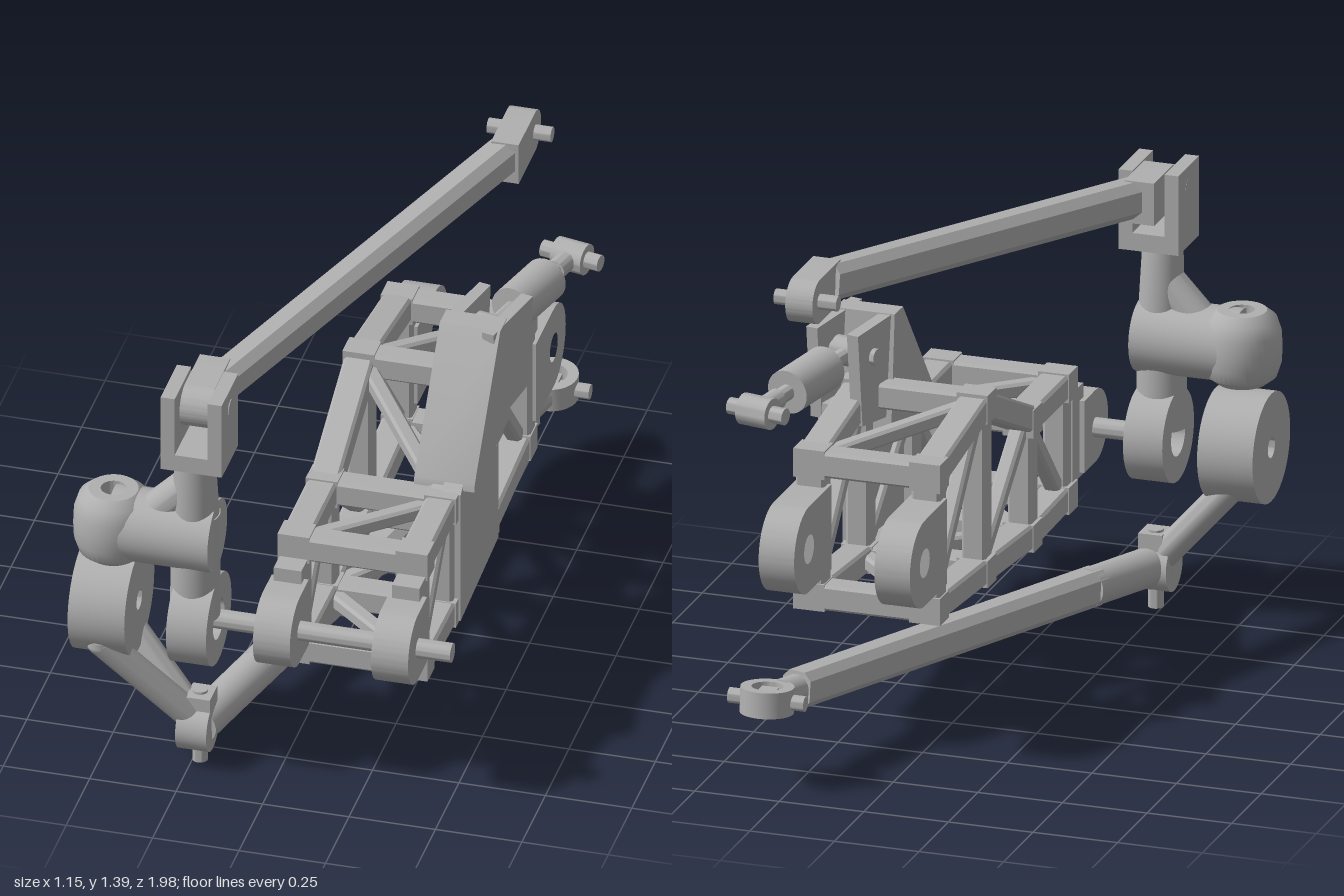
import * as THREE from 'three';
import { toCreasedNormals } from 'three/addons/utils/BufferGeometryUtils.js';

const V = (x, y, z) => new THREE.Vector3(x, y, z);

export function createModel() {
  const steel = new THREE.MeshStandardMaterial({ color: 0xb0b0b0 });
  steel.name = 'plain grey';
  const model = new THREE.Group();
  model.name = 'suspensionLinkage';

  const add = (name, geo, pos = V(0, 0, 0), parent = model) => {
    const m = new THREE.Mesh(toCreasedNormals(geo, 0.6), steel);
    m.name = name;
    m.position.copy(pos);
    parent.add(m);
    return m;
  };
  const box = (name, w, h, d, pos, parent) => add(name, new THREE.BoxGeometry(w, h, d), pos, parent);

  // Bar with chamfered rectangular section between two points
  const bar = (name, a, b, w, h, c = 0.008) => {
    const x = w / 2, y = h / 2;
    const s = new THREE.Shape([
      [-x + c, -y], [x - c, -y], [x, -y + c], [x, y - c],
      [x - c, y], [-x + c, y], [-x, y - c], [-x, -y + c],
    ].map(p => new THREE.Vector2(...p)));
    const m = add(name, new THREE.ExtrudeGeometry(s, { depth: a.distanceTo(b), bevelEnabled: false }), a);
    m.lookAt(b);
    return m;
  };

  // Round rod between two points, optionally tapered
  const rod = (name, a, b, r0, r1 = r0) => {
    const m = add(name, new THREE.CylinderGeometry(r1, r0, a.distanceTo(b), 32), a.clone().lerp(b, 0.5));
    m.quaternion.setFromUnitVectors(V(0, 1, 0), b.clone().sub(a).normalize());
    return m;
  };

  // Ring with a bore; axis is y, or x when sideways
  const ring = (name, pos, ro, ri, width, sideways = true) => {
    const h = width / 2;
    const pts = [[ri, -h], [ro, -h], [ro, h], [ri, h], [ri, -h]].map(p => new THREE.Vector2(...p));
    const m = add(name, new THREE.LatheGeometry(pts, 40), pos);
    if (sideways) m.rotation.z = Math.PI / 2;
    return m;
  };

  // Extrude a (z, y) outline across x
  const plate = (name, shape, xMid, width, parent) => {
    const geo = new THREE.ExtrudeGeometry(shape, { depth: width, bevelEnabled: false, curveSegments: 24 });
    geo.rotateY(-Math.PI / 2);
    return add(name, geo, V(xMid + width / 2, 0, 0), parent);
  };
  const outline = pts => new THREE.Shape(pts.map(p => new THREE.Vector2(...p)));

  // Lug: round end at (y, z) with a straight tail reaching tailZ
  const lug = (name, x, y, z, r, hole, width, tailZ) => {
    const s = new THREE.Shape();
    s.moveTo(tailZ, y - r);
    s.lineTo(z, y - r);
    s.absarc(z, y, r, -Math.PI / 2, Math.PI / 2, tailZ > z);
    s.lineTo(tailZ, y + r);
    s.closePath();
    if (hole) {
      const p = new THREE.Path();
      p.absarc(z, y, hole, 0, Math.PI * 2, true);
      s.holes.push(p);
    }
    return plate(name, s, x, width);
  };

  // ---- Truss arm: two side frames joined by cross beams ----
  const sides = [0.015, 0.357];
  const top = [[0.69, 0.68], [0.39, 0.68], [0, 0.86], [-0.405, 0.795]];
  const low = [[0.69, 0.345], [0.39, 0.338], [0, 0.37], [-0.405, 0.4]];
  for (const x of sides) {
    const T = top.map(([z, y]) => V(x, y, z)), L = low.map(([z, y]) => V(x, y, z));
    for (let i = 0; i < 4; i++) {
      bar('post', L[i], T[i], i === 3 ? 0.085 : 0.07, 0.065);
      box('node', 0.092, 0.085, 0.075, T[i]);
      box('node', 0.092, 0.08, 0.075, L[i]);
      if (i === 3) continue;
      bar('upperChord', T[i], T[i + 1], 0.085, 0.075);
      bar('lowerChord', L[i], L[i + 1], 0.085, 0.075);
      if (i === 0) bar('sideBrace', L[0], T[1], 0.045, 0.045);
      else bar('sideBrace', T[i], L[i + 1], 0.045, 0.045);
    }
    lug('frontLug', x, 0.5, 0.855, 0.107, 0.026, 0.107, 0.76);
    box('frontLugNeck', 0.08, 0.27, 0.09, V(x, 0.515, 0.745));
    lug('rearLug', x, 0.6, -0.59, 0.127, 0.042, 0.105, -0.4);
  }
  [top, low].forEach((row, k) => row.forEach(([z, y], i) => {
    const [xl, xr] = sides;
    bar('crossBeam', V(xl, y, z), V(xr, y, z), 0.075, 0.075);
    if (i < 3) {
      const [z2, y2] = row[i + 1];
      const flip = (i + k) % 2;
      bar('crossBrace', V(flip ? xr : xl, y, z), V(flip ? xl : xr, y2, z2), 0.045, 0.045);
    }
  }));

  // ---- Shock tower on the arm ----
  plate('sidePanel', outline([[0.4, 0.305], [-0.005, 0.335], [-0.005, 0.9], [0.18, 0.9], [0.37, 0.74], [0.4, 0.72]]), 0.382, 0.055);
  plate('towerBlock', outline([[0.375, 0.72], [0.37, 0.745], [0.1, 1.085], [0.03, 1.085], [0, 0.74]]), 0.355, 0.175);
  box('towerTab', 0.06, 0.09, 0.07, V(0.41, 0.765, 0.09));
  const bracket = new THREE.Group();
  bracket.name = 'shockBracket';
  bracket.position.set(0.352, 0, 0.09);
  bracket.rotation.y = -0.2;
  model.add(bracket);
  const cheek = outline([[0, 0.78], [0.02, 1.085], [-0.225, 1.075], [-0.2, 0.8]]);
  for (const s of [-1, 1]) plate('bracketCheek', cheek, s * 0.066, 0.036, bracket);
  box('bracketFloor', 0.12, 0.05, 0.2, V(0, 0.82, -0.1), bracket);

  // ---- Shock absorber ----
  const shockA = V(0.372, 0.99, -0.05), shockB = V(0.482, 0.963, -0.515);
  const along = t => shockA.clone().lerp(shockB, t);
  rod('shockRod', shockA, shockB, 0.023);
  rod('shockBody', along(0.27), along(0.68), 0.064);
  rod('shockCollar', along(0.79), along(0.92), 0.03);
  for (const [p, r, w] of [[shockA, 0.042, 0.085], [shockB, 0.045, 0.095]]) {
    const side = V(0.98, 0, 0.2);
    const end = d => p.clone().addScaledVector(side, d);
    rod('shockEye', end(-w / 2), end(w / 2), r);
    rod('shockPin', end(-0.09), end(0.09), 0.024);
  }

  // ---- Axle through the front lugs ----
  rod('axle', V(-0.24, 0.497, 0.855), V(0.51, 0.497, 0.855), 0.028);

  // ---- Upright ----
  rod('uprightNeck', V(-0.225, 0.85, 0.88), V(-0.225, 1.07, 0.892), 0.066, 0.057);
  rod('uprightStem', V(-0.23, 0.52, 0.87), V(-0.225, 0.86, 0.88), 0.071, 0.069);
  rod('uprightArm', V(-0.465, 0.785, 0.875), V(-0.165, 0.785, 0.875), 0.106);
  rod('uprightGusset', V(-0.38, 0.8, 0.875), V(-0.21, 0.985, 0.885), 0.055, 0.048);
  ring('lowerKnuckle', V(-0.223, 0.5, 0.86), 0.135, 0.06, 0.116);
  // Rounded head with a vertical bore
  const head = [[0.036, -0.107], [0.07, -0.107], [0.098, -0.085], [0.111, -0.045], [0.113, 0],
    [0.111, 0.045], [0.098, 0.085], [0.07, 0.108], [0.036, 0.108], [0.036, -0.107]];
  add('uprightHead', new THREE.LatheGeometry(head.map(p => new THREE.Vector2(...p)), 40), V(-0.465, 0.785, 0.875));
  // Clevis on top
  for (const s of [-1, 1]) box('clevisCheek', 0.041, 0.237, 0.175, V(-0.21 + s * 0.068, 1.1715, 0.9));
  box('clevisFloor', 0.12, 0.052, 0.175, V(-0.21, 1.079, 0.9));
  rod('clevisPin', V(-0.299, 1.23, 0.898), V(-0.119, 1.23, 0.898), 0.024);

  // ---- Wheel hub and its V strut ----
  ring('hub', V(-0.484, 0.508, 0.833), 0.16, 0.03, 0.164);
  for (const z of [0.935, 0.755]) {
    rod('hubStrut', V(-0.485, 0.42, z), V(-0.23, 0.13, 0.83), 0.042);
    add('strutEnd', new THREE.SphereGeometry(0.042, 24, 16), V(-0.485, 0.42, z));
  }

  // ---- Upper link ----
  lug('upperLinkTongue', -0.208, 1.225, 0.895, 0.063, 0, 0.088, 0.74);
  bar('upperLink', V(-0.19, 1.225, 0.8), V(0.315, 1.335, -0.41), 0.095, 0.108, 0.024);
  lug('upperLinkEye', 0.325, 1.328, -0.555, 0.064, 0, 0.08, -0.38);
  rod('upperLinkPin', V(0.23, 1.328, -0.555), V(0.415, 1.328, -0.555), 0.022);

  // ---- Lower link ----
  const lowA = V(-0.23, 0.122, 0.83), lowB = V(0.317, 0.265, -0.91);
  const at = t => lowA.clone().lerp(lowB, t);
  rod('lowerLinkSleeve', lowA, at(0.18), 0.056);
  bar('lowerLink', at(0.16), at(0.925), 0.095, 0.105, 0.022);
  rod('lowerLinkCollar', at(0.92), at(0.965), 0.043);
  ring('lowerLinkEye', lowB, 0.076, 0.045, 0.075, false).rotation.x = 0.08;
  rod('lowerLinkPin', V(0.205, 0.262, -0.905), V(0.43, 0.262, -0.905), 0.022);
  box('lowerLinkPinBlock', 0.05, 0.06, 0.05, V(0.317, 0.262, -0.905));
  rod('lowerJoint', V(-0.28, 0.12, 0.83), V(-0.19, 0.12, 0.83), 0.072);
  box('lowerJointCap', 0.07, 0.05, 0.08, V(-0.225, 0.2, 0.822));
  rod('lowerJointPin', V(-0.23, 0, 0.818), V(-0.23, 0.232, 0.818), 0.022);

  return model;
}
